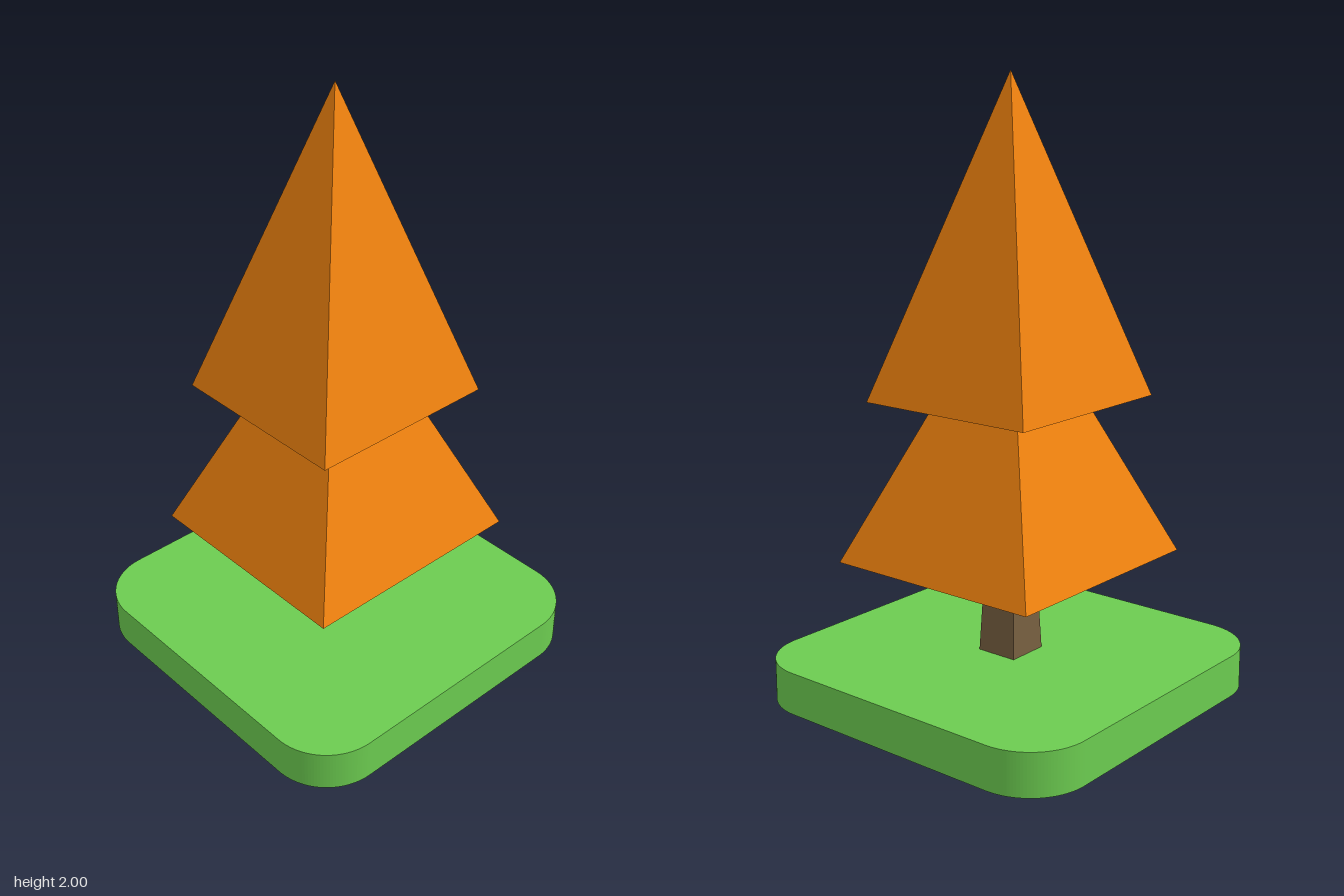
import * as THREE from 'three';

const material = (color, flatShading) => new THREE.MeshStandardMaterial({ color, flatShading });

// Four-sided tapered block: half-width and half-depth at the bottom, taper = top size / bottom size
function taperedBlock(name, mat, halfX, halfZ, y0, y1, taper) {
  const r = Math.SQRT2;
  const geo = new THREE.CylinderGeometry(r * taper, r, y1 - y0, 4);
  geo.rotateY(Math.PI / 4);
  geo.scale(halfX, 1, halfZ);
  geo.translate(0, (y0 + y1) / 2, 0);
  const mesh = new THREE.Mesh(geo, mat);
  mesh.name = name;
  return mesh;
}

// Square outline with rounded corners
function roundedSquare(half, radius) {
  const shape = new THREE.Shape();
  const c = half - radius;
  [[c, c], [-c, c], [-c, -c], [c, -c]].forEach(([x, y], i) => {
    shape.absarc(x, y, radius, i * Math.PI / 2, (i + 1) * Math.PI / 2, false);
  });
  shape.closePath();
  return shape;
}

export function createModel() {
  const model = new THREE.Group();
  model.name = 'tree';
  const leaves = material(0xf0820f, true);

  // Grass slab
  const slab = new THREE.ExtrudeGeometry(roundedSquare(0.6, 0.2), {
    depth: 0.14, bevelEnabled: false, curveSegments: 16,
  });
  slab.rotateX(-Math.PI / 2);
  const ground = new THREE.Mesh(slab, material(0x6ccc50, false));
  ground.name = 'grassBase';
  model.add(ground);

  // Trunk and the two foliage tiers
  model.add(
    taperedBlock('trunk', material(0x775f40, true), 0.073, 0.072, 0.14, 0.46, 0.8),
    taperedBlock('lowerFoliage', leaves, 0.397, 0.383, 0.457, 1.37, 0),
    taperedBlock('upperFoliage', leaves, 0.328, 0.316, 0.98, 2, 0),
  );
  return model;
}
